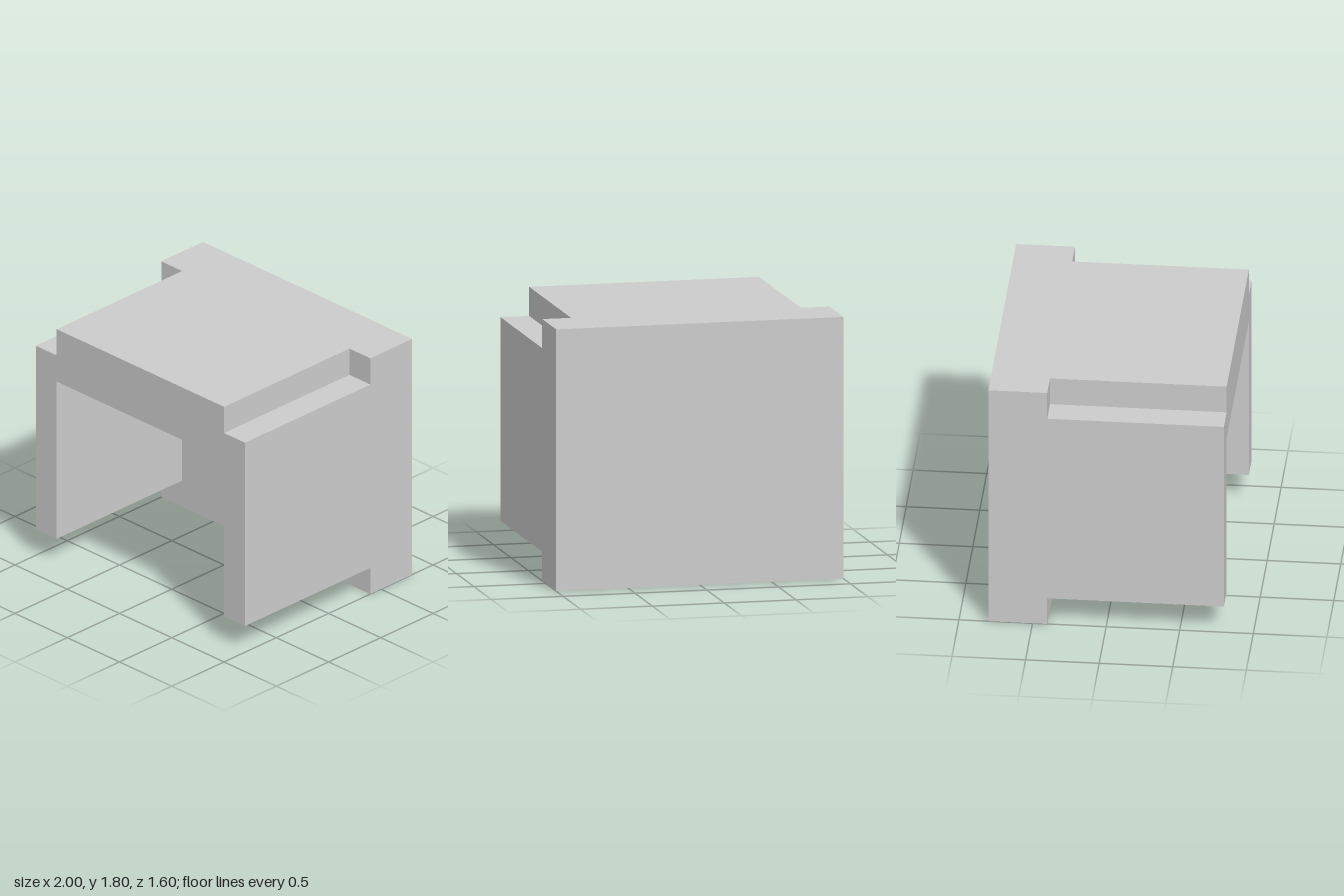
import * as THREE from 'three';

const material = new THREE.MeshStandardMaterial({ color: 0xcccccc, flatShading: true });

// Box given by its extents along each axis
function block(name, [x0, x1], [y0, y1], [z0, z1]) {
  const mesh = new THREE.Mesh(new THREE.BoxGeometry(x1 - x0, y1 - y0, z1 - z0), material);
  mesh.position.set((x0 + x1) / 2, (y0 + y1) / 2, (z0 + z1) / 2);
  mesh.name = name;
  return mesh;
}

export function createModel() {
  const model = new THREE.Group();
  model.name = 'blockHousing';

  // Thick full-height slab at the back
  model.add(block('backSlab', [-1, 1], [0, 1.8], [-0.8, -0.4]));

  // Raised top slab between the side walls
  model.add(block('topSlab', [-0.8, 0.8], [1.4, 1.8], [-0.4, 0.8]));

  // Side walls, stopping short of the top and the ground
  model.add(block('leftWall', [0.8, 1], [0.2, 1.6], [-0.4, 0.8]));
  model.add(block('rightWall', [-1, -0.8], [0.2, 1.6], [-0.4, 0.8]));

  return model;
}
